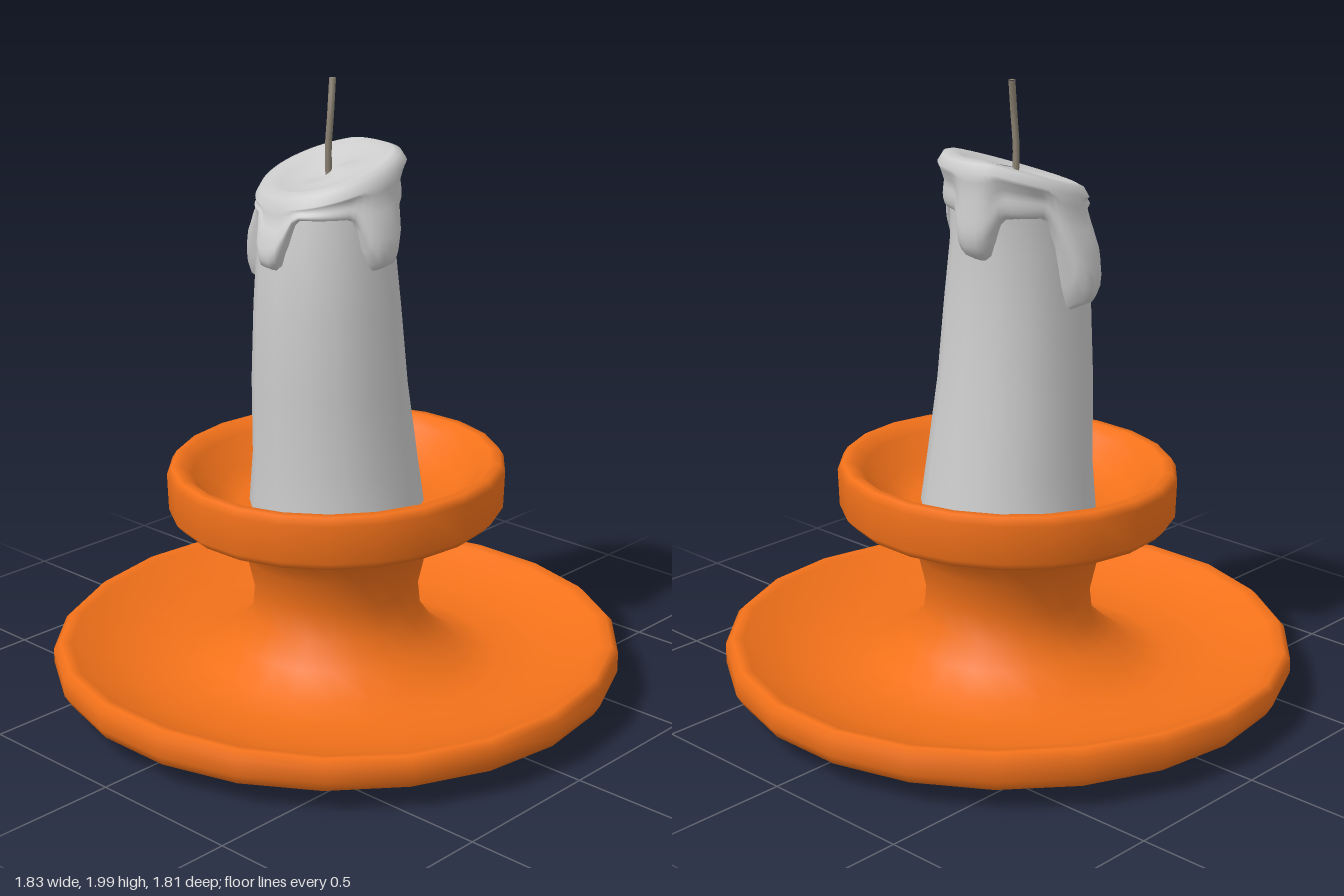
import * as THREE from 'three';

const wax = new THREE.MeshStandardMaterial({ color: 0xcccccc });
const clay = new THREE.MeshStandardMaterial({ color: 0xf2711a });
const cord = new THREE.MeshStandardMaterial({ color: 0x8c8272 });

// Closed-ring surface: point(row, angle) gives [x, y, z], rows run from the top down
function ringSurface(rows, segs, point) {
  const pos = [], idx = [];
  for (let i = 0; i < rows; i++) {
    for (let j = 0; j < segs; j++) {
      pos.push(...point(i, (j / segs) * Math.PI * 2));
      if (i === rows - 1) continue;
      const a = i * segs + j, b = i * segs + ((j + 1) % segs);
      idx.push(a, a + segs, b + segs, a, b + segs, b);
    }
  }
  const geo = new THREE.BufferGeometry();
  geo.setAttribute('position', new THREE.Float32BufferAttribute(pos, 3));
  geo.setIndex(idx);
  geo.computeVertexNormals();
  return geo;
}

function addMesh(group, name, geo, material) {
  const mesh = new THREE.Mesh(geo, material);
  mesh.name = name;
  group.add(mesh);
}

// Candle cross-sections: height, centre x, centre z, radius
const sections = [
  [1.66, -0.02, 0.01, 0.2], [1.5, -0.015, 0.03, 0.213], [1.3, -0.01, 0.03, 0.23],
  [1.05, -0.01, 0.02, 0.246], [0.8, -0.01, -0.005, 0.263], [0.6, -0.01, -0.015, 0.285],
];
function candleAt(y) {
  let i = 0;
  while (i < sections.length - 2 && y < sections[i + 1][0]) i++;
  const a = sections[i], b = sections[i + 1];
  const t = THREE.MathUtils.clamp((a[0] - y) / (a[0] - b[0]), 0, 1);
  return [1, 2, 3].map(k => THREE.MathUtils.lerp(a[k], b[k], t));
}

// Drips: angle from the front, bottom height, half-width angle, thickness
const drips = [
  [-0.07, 1.44, 0.27, 0.04], [1.58, 1.44, 0.33, 0.055],
  [3.32, 1.47, 0.29, 0.06], [4.75, 1.31, 0.29, 0.085],
];
function dripAt(angle) {
  let edge = 1.605, thick = 0.022;
  for (const [centre, bottom, width, thickness] of drips) {
    const d = Math.atan2(Math.sin(angle - centre), Math.cos(angle - centre));
    const k = Math.exp(-Math.pow(d / width, 4));
    edge -= k * (1.605 - bottom);
    thick += k * (thickness - 0.022);
  }
  return [edge, thick];
}

// Top of the wax: hollow and rim as radius and height offset
const rim = [[0, -0.025], [0.1, -0.025], [0.155, -0.015], [0.19, 0], [0.215, -0.008], [0.232, -0.035]];
const skirtRows = 10;
function capPoint(i, angle) {
  const s = Math.sin(angle), c = Math.cos(angle);
  const top = (r, h) => Math.min(1.785, 1.735 - 0.3 * r * c + 0.02 * s) + h;
  if (i < rim.length) {
    const [r, h] = rim[i];
    return [-0.022 + r * s, top(r, h), r * c];
  }
  // Skirt flows down over the candle and swells near the drip ends
  const t = (i - rim.length + 1) / skirtRows;
  const [edge, thick] = dripAt(angle);
  const start = top(...rim[rim.length - 1]);
  const y = THREE.MathUtils.lerp(start, Math.min(edge, start - 0.03), t);
  const [cx, cz, cr] = candleAt(y);
  const swell = thick * Math.sqrt(Math.max(0, 1 - Math.pow(Math.abs(t - 0.68) / 0.32, 2)));
  const body = cr + Math.max(swell, t < 0.68 ? thick * (0.55 + 0.45 * t / 0.68) : 0) - (t === 1 ? 0.015 : 0);
  const blend = Math.min(1, t * 2.5);
  return [
    THREE.MathUtils.lerp(-0.022 + 0.232 * s, cx + body * s, blend), y,
    THREE.MathUtils.lerp(0.232 * c, cz + body * c, blend),
  ];
}

function holderGeometry() {
  // Dish, waisted stem and cup in one turned profile
  const profile = [
    [0, 0.008], [0.66, 0.008], [0.8, 0.04], [0.895, 0.085], [0.916, 0.12], [0.916, 0.175],
    [0.895, 0.196], [0.86, 0.19], [0.8, 0.15], [0.66, 0.11], [0.52, 0.105], [0.42, 0.13],
    [0.335, 0.195], [0.275, 0.265], [0.265, 0.36], [0.29, 0.47], [0.34, 0.55], [0.4, 0.6],
    [0.51, 0.612], [0.536, 0.64], [0.54, 0.76], [0.525, 0.784], [0.495, 0.784], [0.46, 0.755],
    [0.39, 0.68], [0.31, 0.64], [0, 0.635],
  ].map(([x, y]) => new THREE.Vector2(x, y));
  const geo = new THREE.LatheGeometry(profile, 22, Math.PI / 2);
  // Slight handmade unevenness of the rims
  const p = geo.attributes.position;
  for (let i = 0; i < p.count; i++) {
    const x = p.getX(i), y = p.getY(i), z = p.getZ(i);
    if (y > 0.25) {
      p.setXYZ(i, x - 0.008, y + 0.012 * x - 0.02 * z, z - 0.01);
    } else if (y > 0.14 && Math.hypot(x, z) > 0.78) {
      p.setY(i, y + 0.008 * Math.sin(3 * Math.atan2(x, z) + 1.5) - 0.006 * z);
    }
  }
  return geo;
}

export function createModel() {
  const group = new THREE.Group();
  group.name = 'candleInHolder';

  addMesh(group, 'holder', holderGeometry(), clay);

  addMesh(group, 'candleBody', ringSurface(sections.length, 14, (i, a) => {
    const [y, cx, cz, r] = sections[i];
    return [cx + r * Math.sin(a), y, cz + r * Math.cos(a)];
  }), wax);

  addMesh(group, 'meltedWaxCap', ringSurface(rim.length + skirtRows, 72, capPoint), wax);

  // Bent wick with a closed tip
  const path = new THREE.CatmullRomCurve3([
    [-0.015, 1.68, 0.015], [-0.014, 1.78, 0.02], [-0.01, 1.89, 0.014], [-0.022, 1.998, -0.008],
  ].map(v => new THREE.Vector3(...v)));
  addMesh(group, 'wick', new THREE.TubeGeometry(path, 10, 0.011, 6), cord);
  const tip = new THREE.CircleGeometry(0.011, 6).rotateX(-Math.PI / 2).translate(-0.022, 1.998, -0.008);
  addMesh(group, 'wickTip', tip, cord);

  return group;
}
